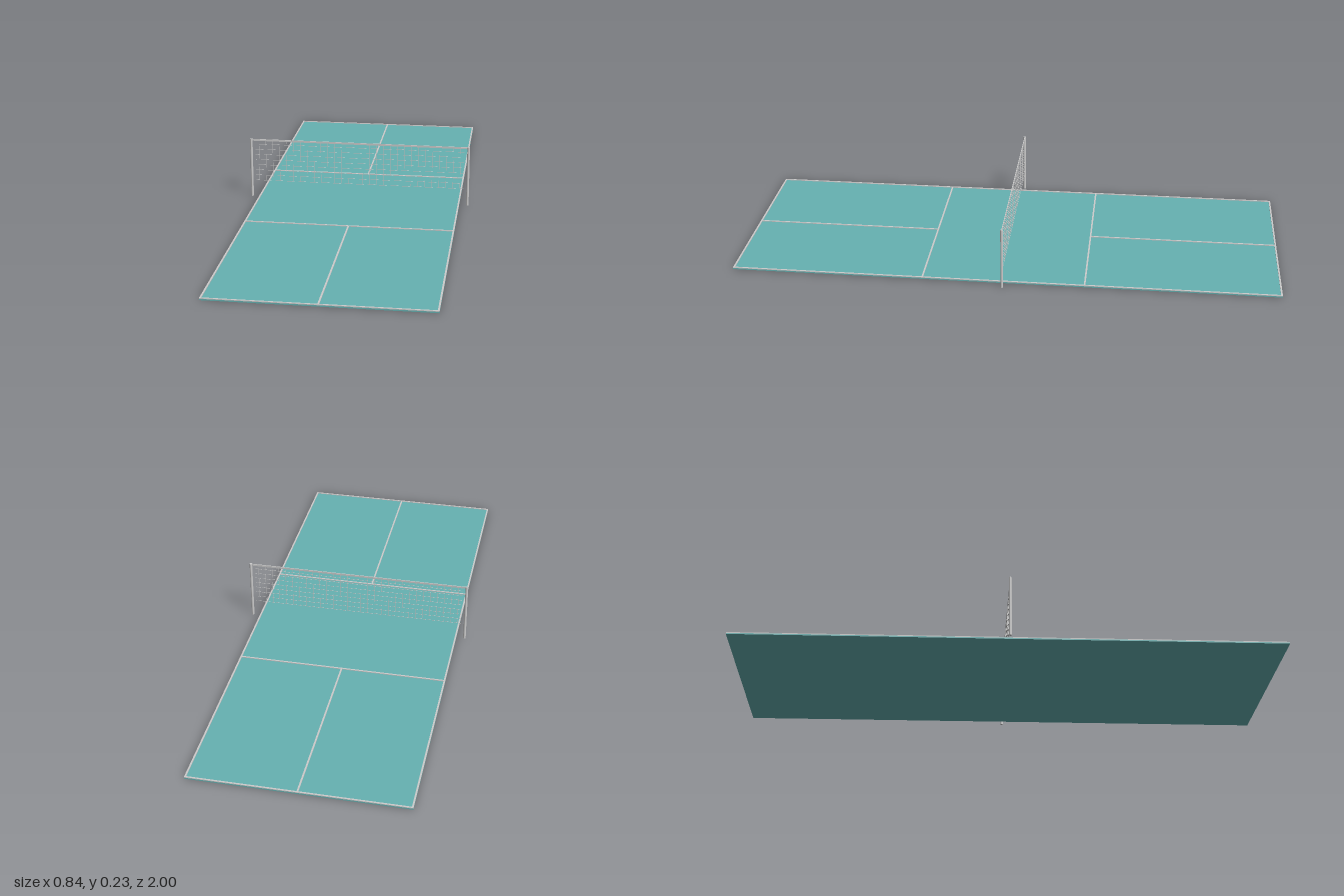
import * as THREE from 'three';

const HALF_W = 0.387, HALF_L = 1, SERVICE_Z = 0.2955;
const SLAB_H = 0.0045, TOP = 0.0075, LINE = 0.006;

export function createModel() {
  const model = new THREE.Group();
  const grey = new THREE.MeshStandardMaterial({ color: 0xcccccc });
  const teal = new THREE.MeshStandardMaterial({ color: 0x66b2b2 });

  const add = (parent, name, geometry, material, x, y, z) => {
    const mesh = new THREE.Mesh(geometry, material);
    mesh.name = name;
    mesh.position.set(x, y, z);
    parent.add(mesh);
  };
  const box = (parent, name, w, h, d, x, y, z, material = grey) =>
    add(parent, name, new THREE.BoxGeometry(w, h, d), material, x, y, z);

  // Playing surface
  box(model, 'courtSurface', HALF_W * 2, SLAB_H, HALF_L * 2, 0, SLAB_H / 2, 0, teal);

  // Raised court markings
  const markings = new THREE.Group();
  markings.name = 'courtLines';
  const lineH = TOP - SLAB_H, lineY = (TOP + SLAB_H) / 2;
  const centreLength = HALF_L - LINE - SERVICE_Z - LINE / 2;
  for (const s of [-1, 1]) {
    box(markings, 'sideLine', LINE, lineH, HALF_L * 2, s * (HALF_W - LINE / 2), lineY, 0);
    box(markings, 'baseLine', (HALF_W - LINE) * 2, lineH, LINE, 0, lineY, s * (HALF_L - LINE / 2));
    box(markings, 'serviceLine', (HALF_W - LINE) * 2, lineH, LINE, 0, lineY, s * SERVICE_Z);
    box(markings, 'centreLine', LINE, lineH, centreLength, 0, lineY,
      s * (SERVICE_Z + LINE / 2 + centreLength / 2));
  }
  model.add(markings);

  // Net posts
  const postH = 0.231, postX = 0.417;
  for (const s of [-1, 1]) {
    add(model, 'netPost', new THREE.CylinderGeometry(0.005, 0.005, postH, 16), grey,
      s * postX, postH / 2, 0);
  }

  // Net: top tape and a mesh of thin cords
  const net = new THREE.Group();
  net.name = 'net';
  const netTop = 0.224, netBottom = 0.065, cord = 0.001;
  box(net, 'topTape', postX * 2, 0.007, 0.003, 0, 0.2272, 0);
  for (let i = 0; i < 8; i++) {
    box(net, 'horizontalCord', 0.802, cord, cord, 0, netBottom + i * 0.0208, 0);
  }
  for (let i = 0; i < 30; i++) {
    box(net, 'verticalCord', cord, netTop - netBottom, cord,
      -HALF_W + (i * HALF_W * 2) / 29, (netTop + netBottom) / 2, 0);
  }
  model.add(net);

  return model;
}
